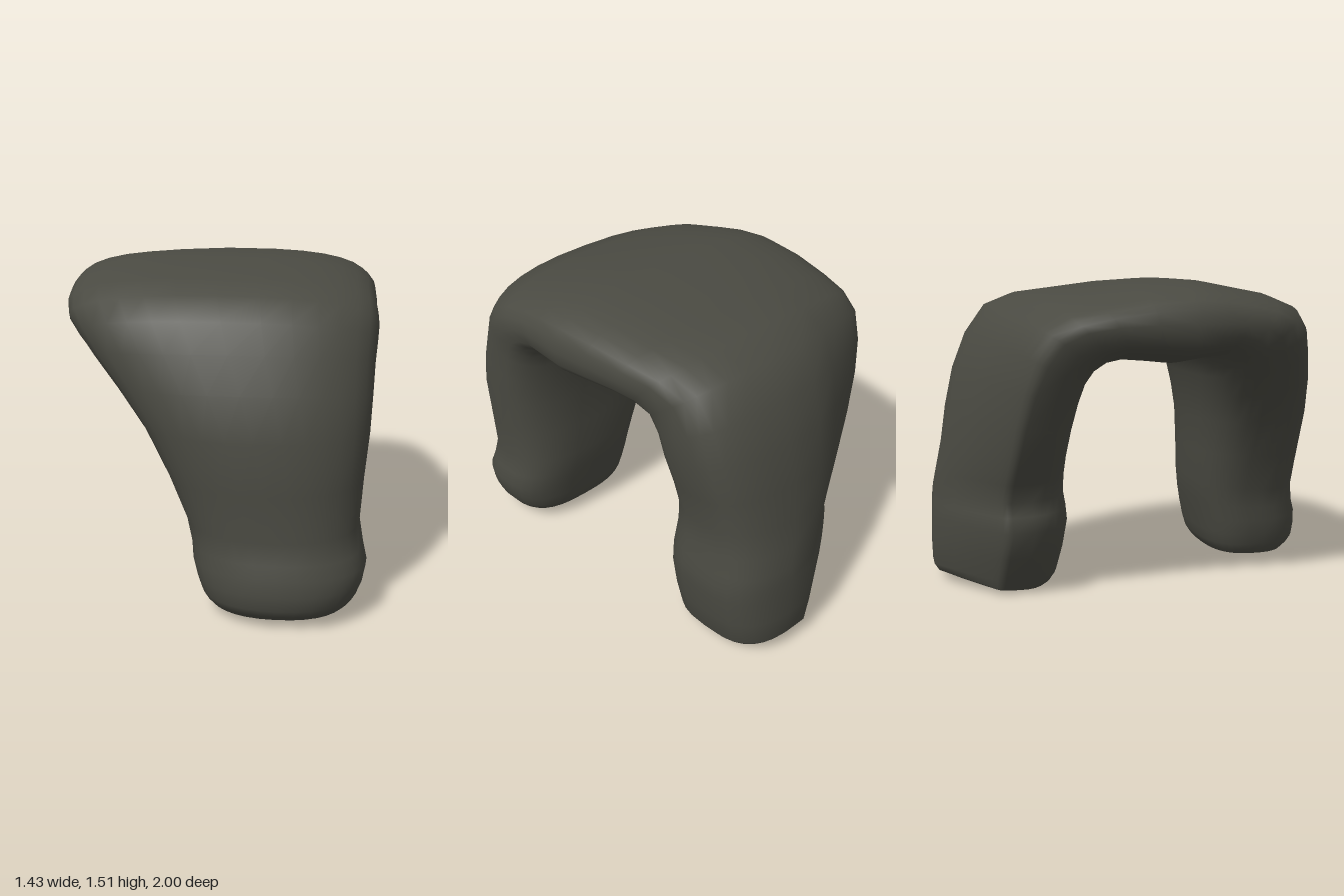
import * as THREE from 'three';

// Stations along the arch, front foot to back foot:
// min x, inner y, inner z, max x, outer y, outer z
const STATIONS = [
  [0.0, 0.045, 0.49, 0.60, 0.04, 0.93],
  [-0.04, 0.10, 0.45, 0.65, 0.11, 0.99],
  [-0.08, 0.24, 0.42, 0.69, 0.25, 0.99],
  [-0.11, 0.44, 0.385, 0.655, 0.40, 0.95],
  [-0.29, 0.79, 0.37, 0.685, 0.84, 0.95],
  [-0.53, 1.03, 0.315, 0.70, 1.18, 0.84],
  [-0.66, 1.10, 0.28, 0.715, 1.40, 0.70],
  [-0.70, 1.14, 0.24, 0.71, 1.48, 0.38],
  [-0.72, 1.11, 0.06, 0.715, 1.515, 0.08],
  [-0.69, 1.135, -0.18, 0.67, 1.47, -0.38],
  [-0.64, 1.08, -0.30, 0.615, 1.39, -0.71],
  [-0.54, 0.94, -0.345, 0.60, 1.07, -0.88],
  [-0.40, 0.68, -0.38, 0.54, 0.70, -0.95],
  [-0.28, 0.48, -0.375, 0.56, 0.48, -0.99],
  [-0.31, 0.34, -0.36, 0.57, 0.34, -1.0],
  [-0.18, 0.06, -0.40, 0.53, 0.09, -1.0],
  [-0.15, 0.0, -0.46, 0.47, 0.045, -0.95],
];
const SIDES = 32;
const STEPS = (STATIONS.length - 1) * 2;

// Two guide curves hold opposite corners of every cross-section
const guide = (k) => new THREE.CatmullRomCurve3(
  STATIONS.map((s) => new THREE.Vector3(s[k], s[k + 1], s[k + 2])), false, 'catmullrom');
const innerGuide = guide(0);
const outerGuide = guide(3);

const soften = (v, power) => Math.sign(v) * Math.pow(Math.abs(v), power);

// Rounded cross-section at t: rounder on the front face, bevelled at the back right corner
function section(t) {
  const inner = innerGuide.getPoint(t), outer = outerGuide.getPoint(t);
  const centre = inner.clone().add(outer).multiplyScalar(0.5);
  const half = outer.sub(inner).multiplyScalar(0.5);
  const outerPower = 0.68 + 0.3 * Math.max(0, centre.z);
  const bevel = 1.15 * Math.max(0, -centre.z);
  return Array.from({ length: SIDES }, (_, j) => {
    const a = (j / SIDES) * Math.PI * 2;
    const power = j < SIDES / 2 ? outerPower : 0.7;
    const u = soften(Math.cos(a), power);
    let v = soften(Math.sin(a), power);
    if (v > 0 && u < 0) v *= 1 + bevel * u;
    return [centre.x + u * half.x, centre.y + v * half.y, centre.z + v * half.z];
  });
}

// Skin lofted through all sections, open under both feet
function archSkin() {
  const positions = [], index = [];
  for (let i = 0; i <= STEPS; i++) {
    positions.push(...section(i / STEPS).flat());
    if (i === STEPS) break;
    for (let j = 0; j < SIDES; j++) {
      const a = i * SIDES + j, b = i * SIDES + ((j + 1) % SIDES);
      index.push(a, a + SIDES, b, b, a + SIDES, b + SIDES);
    }
  }
  const g = new THREE.BufferGeometry();
  g.setAttribute('position', new THREE.Float32BufferAttribute(positions, 3));
  g.setIndex(index);
  g.computeVertexNormals();
  return g;
}

export function createModel() {
  const stone = new THREE.MeshStandardMaterial({ color: 0x4a4a42, side: THREE.DoubleSide });
  stone.name = 'darkStone';
  const model = new THREE.Group();
  model.name = 'rockArch';
  const body = new THREE.Mesh(archSkin(), stone);
  body.name = 'archBody';
  model.add(body);
  return model;
}
